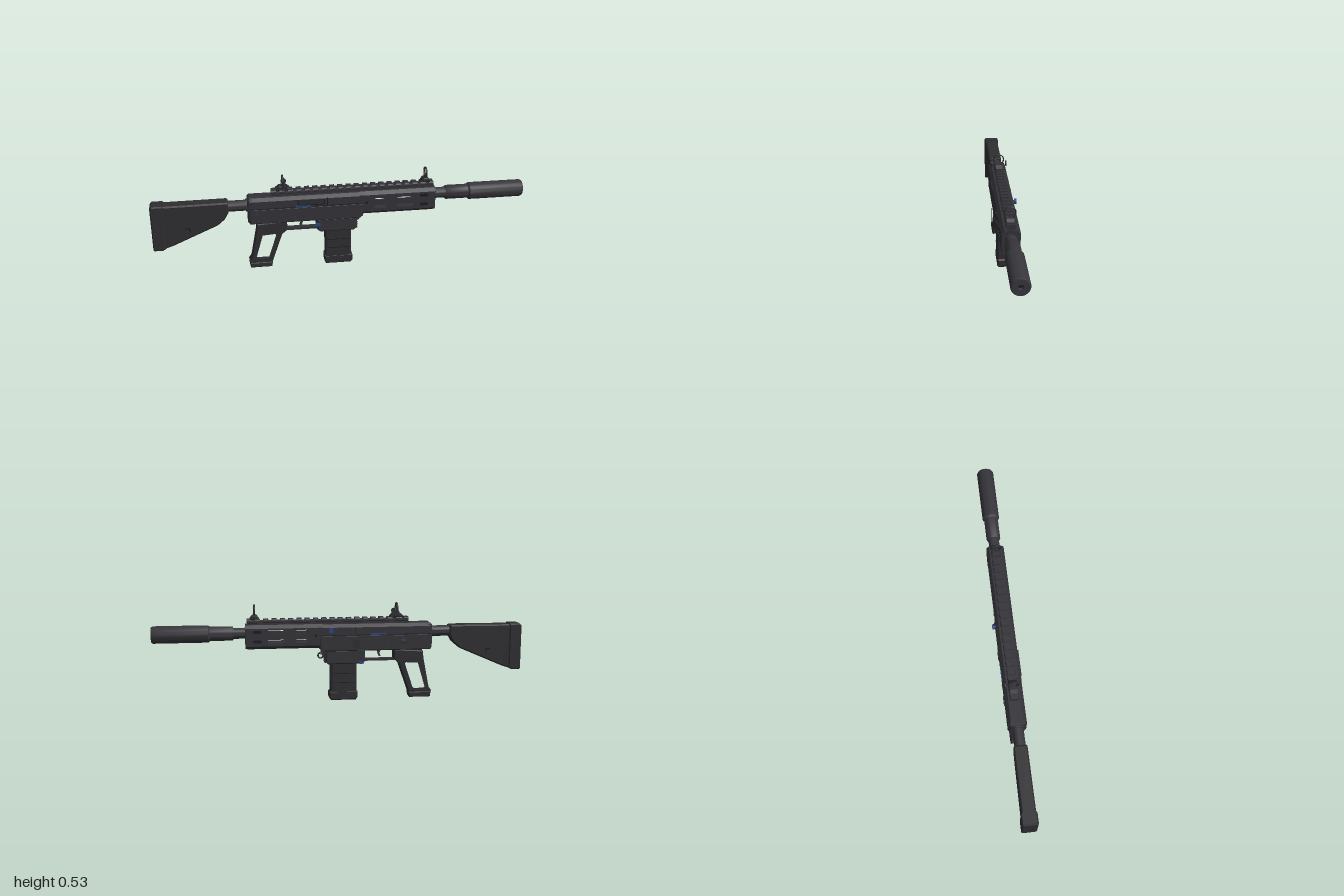
import * as THREE from 'three';
import { toCreasedNormals } from 'three/addons/utils/BufferGeometryUtils.js';

const mat = (name, color) => Object.assign(new THREE.MeshStandardMaterial({ color }), { name });

export function createModel() {
  const model = new THREE.Group();
  model.name = 'rifle';
  const body = new THREE.Group();
  body.name = 'rifleBody';
  body.position.z = 0.007;
  model.add(body);

  const metal = mat('gunmetal', 0x333237);
  const polymer = mat('darkPolymer', 0x2e2d31);
  const steel = mat('barrelSteel', 0x37363b);
  const black = mat('recessBlack', 0x1b1b1e);
  const blue = mat('blueAccent', 0x2b4484);

  const add = (name, geo, material, x = 0, y = 0, z = 0) => {
    const m = new THREE.Mesh(geo, material);
    m.name = name;
    m.position.set(x, y, z);
    body.add(m);
    return m;
  };
  const toShape = (pts) => new THREE.Shape(pts.map(([x, y]) => new THREE.Vector2(x, y)));
  const box = (name, x0, x1, y0, y1, w, material, z = 0) =>
    add(name, new THREE.BoxGeometry(x1 - x0, y1 - y0, w), material, (x0 + x1) / 2, (y0 + y1) / 2, z);

  // Side outline (x, y) given thickness across z, with chamfered edges
  const slab = (name, pts, w, b, material, holes = [], z = 0) => {
    const s = toShape(pts);
    s.holes = holes;
    const g = new THREE.ExtrudeGeometry(s, {
      depth: w - 2 * b, bevelEnabled: b > 0, bevelSize: b, bevelThickness: b,
      bevelOffset: -b, bevelSegments: 1, curveSegments: 8,
    });
    return add(name, g.translate(0, 0, b - w / 2), material, 0, 0, z);
  };
  // Symmetric cross-section, listed as (half width, y) from bottom to top, run along x
  const beam = (name, half, x0, x1, material) => {
    const pts = [...half, ...half.map(([z, y]) => [-z, y]).reverse()];
    const g = new THREE.ExtrudeGeometry(toShape(pts), { depth: x1 - x0, bevelEnabled: false });
    return add(name, g.rotateY(Math.PI / 2), material, x0);
  };
  // Turned part on the x axis, profile as (radius, x)
  const turned = (name, pts, y, material) => {
    const g = new THREE.LatheGeometry(pts.map(([r, x]) => new THREE.Vector2(r, x)), 28);
    return add(name, toCreasedNormals(g.rotateZ(-Math.PI / 2), 0.6), material, 0, y);
  };
  // Disc facing z
  const disc = (name, r, w, x, y, z, material) =>
    add(name, new THREE.CylinderGeometry(r, r, w, 16).rotateX(Math.PI / 2), material, x, y, z);
  const pill = (x0, x1, y, h) => {
    const r = h / 2, p = new THREE.Path();
    p.absarc(x1 - r, y, r, -Math.PI / 2, Math.PI / 2);
    p.absarc(x0 + r, y, r, Math.PI / 2, Math.PI * 1.5);
    p.closePath();
    return p;
  };

  // Barrel and suppressor
  turned('barrel', [[0, 0.47], [0.029, 0.47], [0.029, 0.575], [0, 0.575]], 0.373, steel);
  turned('suppressor', [[0, 0.572], [0.035, 0.572], [0.038, 0.577], [0.038, 0.695], [0.041, 0.698],
    [0.046, 0.704], [0.046, 0.99], [0.041, 1], [0.014, 1], [0.014, 0.975], [0, 0.975]], 0.373, steel);
  turned('suppressorBore', [[0, 0.974], [0.0135, 0.974], [0.0135, 0.977], [0, 0.977]], 0.373, black);

  // Hollow handguard: roof, floor, ends and slotted sides
  beam('handguardRoof', [[0.048, 0.394], [0.048, 0.402], [0.033, 0.42]], 0.115, 0.5, metal);
  beam('handguardFloor', [[0.033, 0.291], [0.046, 0.306], [0.046, 0.318]], 0.115, 0.5, metal);
  const octagon = [[0.033, 0.293], [0.045, 0.306], [0.047, 0.402], [0.033, 0.419]];
  beam('handguardFront', octagon, 0.47, 0.51, metal);
  beam('handguardRear', octagon, 0.1, 0.15, metal);
  for (const s of [1, -1]) {
    const slots = [0.383, 0.332].flatMap((y) => [pill(0.177, 0.245, y, 0.019), pill(0.3, 0.395, y, 0.019)]);
    slab('handguardSide', [[0.115, 0.317], [0.5, 0.317], [0.5, 0.395], [0.115, 0.395]],
      0.008, 0, metal, slots, s * 0.043);
    for (const y of [0.383, 0.332]) {
      slab('handguardBlindSlot', pill(0.425, 0.47, y, 0.017).getPoints(8).map((p) => [p.x, p.y]),
        0.003, 0, black, [], s * 0.0465);
    }
    disc('handguardScrew', 0.007, 0.004, 0.135, 0.36, s * 0.048, black);
  }

  // Receiver
  beam('upperReceiver', [[0.048, 0.35], [0.048, 0.4], [0.033, 0.417]], -0.485, 0.115, metal);
  slab('receiverRearPlate', [[-0.497, 0.285], [-0.488, 0.272], [-0.47, 0.272], [-0.47, 0.415], [-0.488, 0.415], [-0.497, 0.405]],
    0.086, 0.006, metal);
  slab('lowerReceiver', [[-0.488, 0.272], [0.1, 0.272], [0.116, 0.285], [0.116, 0.357], [-0.488, 0.357]],
    0.098, 0.005, metal);
  box('receiverSeam', -0.485, 0.115, 0.357, 0.36, 0.0975, black);
  for (const s of [1, -1]) {
    box('receiverSeamUpright', -0.077, -0.073, 0.36, 0.402, 0.002, black, s * 0.048);
    for (const [x, y] of [[-0.45, 0.33], [-0.25, 0.3], [0.085, 0.3]]) {
      disc('receiverPin', 0.008, 0.004, x, y, s * 0.05, steel);
    }
  }
  box('ejectionPort', -0.235, -0.09, 0.366, 0.399, 0.004, black, 0.048);
  box('portCover', -0.23, -0.095, 0.372, 0.4, 0.006, polymer, 0.05);
  for (const s of [1, -1]) box('boltMark', -0.243, -0.163, 0.358, 0.367, 0.005, blue, s * 0.049);
  box('fireSelector', -0.36, -0.31, 0.305, 0.318, 0.006, polymer, -0.051);
  box('selectorMark', -0.345, -0.33, 0.32, 0.334, 0.003, blue, -0.0495);
  box('boltCatch', -0.1, -0.06, 0.287, 0.335, 0.006, polymer, -0.05);

  // Charging handle
  disc('chargingStem', 0.007, 0.016, 0.055, 0.387, -0.052, steel);
  disc('chargingKnob', 0.014, 0.012, 0.055, 0.387, -0.061, blue);

  // Top rail
  beam('railBase', [[0.019, 0.412], [0.019, 0.428], [0.025, 0.431], [0.025, 0.437], [0.02, 0.439]], -0.37, 0.5, metal);
  for (let i = 0; i < 20; i++) {
    const x = -0.37 + i * 0.0445;
    beam('railTooth', [[0.025, 0.436], [0.025, 0.442], [0.02, 0.448]], x, x + 0.026, metal);
  }

  // Folding ring sights
  const sight = (name, x, ends) => {
    slab(name + 'Base', [[x - ends, 0.446], [x + ends, 0.446], [x + ends, 0.453], [x + ends * 0.5, 0.469], [x - ends * 0.5, 0.469], [x - ends, 0.453]],
      0.046, 0.004, polymer);
    slab(name + 'Neck', [[x - 0.008, 0.465], [x + 0.008, 0.465], [x + 0.005, 0.476], [x - 0.005, 0.476]], 0.022, 0, polymer);
    add(name + 'Ring', new THREE.TorusGeometry(0.0275, 0.0035, 6, 14).rotateY(Math.PI / 2).scale(1.5, 1, 1), polymer, x, 0.496, 0);
  };
  sight('rearSight', -0.307, 0.038);
  sight('frontSight', 0.46, 0.024);
  add('frontSightPost', new THREE.ConeGeometry(0.005, 0.024, 8), polymer, 0.46, 0.484, 0);
  for (const s of [1, -1]) disc('rearSightDial', 0.015, 0.007, -0.3, 0.475, s * 0.04, polymer);

  // Magazine well with front ribs
  slab('magazineWell', [[-0.13, 0.276], [-0.13, 0.213], [-0.112, 0.2], [0.07, 0.2], [0.083, 0.212], [0.083, 0.276]],
    0.084, 0.006, metal);
  slab('magazineWellShoulder', [[0.06, 0.28], [0.06, 0.245], [0.095, 0.252], [0.112, 0.28]], 0.06, 0.004, metal);
  for (let i = 0; i < 4; i++) box('magazineWellRib', 0.08, 0.088, 0.207 + i * 0.011, 0.213 + i * 0.011, 0.062, polymer);
  box('magazineRelease', -0.14, -0.115, 0.235, 0.253, 0.012, blue, 0.04);
  box('magazineCatch', -0.125, -0.1, 0.2, 0.214, 0.006, blue, -0.041);

  // Magazine
  slab('magazine', [[-0.085, 0.21], [-0.085, 0.04], [0.052, 0.04], [0.052, 0.21]], 0.068, 0.005, polymer);
  box('magazineFrontRidge', 0.05, 0.055, 0.05, 0.195, 0.05, polymer);
  for (const s of [1, -1]) {
    for (const y of [0.095, 0.145]) box('magazineGroove', -0.078, 0.045, y, y + 0.004, 0.002, black, s * 0.0335);
  }
  slab('magazineBase', [[-0.09, 0.048], [-0.09, 0.012], [-0.082, 0.0], [0.052, 0.0], [0.063, 0.012], [0.063, 0.042], [0.055, 0.05], [-0.08, 0.05]],
    0.07, 0.006, polymer);

  // Open pistol grip
  const opening = new THREE.Path([[-0.427, 0.2], [-0.355, 0.205], [-0.345, 0.195], [-0.39, 0.06], [-0.4, 0.05], [-0.455, 0.05], [-0.468, 0.06]]
    .map(([x, y]) => new THREE.Vector2(x, y)));
  slab('grip', [[-0.45, 0.262], [-0.29, 0.272], [-0.29, 0.218], [-0.318, 0.196], [-0.374, 0.035], [-0.378, 0.005],
    [-0.494, 0.005], [-0.5, 0.04], [-0.486, 0.06], [-0.456, 0.215]], 0.062, 0.005, polymer, [opening]);
  slab('gripFoot', [[-0.494, 0.005], [-0.378, 0.005], [-0.374, 0.034], [-0.495, 0.034]], 0.068, 0.004, polymer);

  // Trigger and guard
  box('triggerGuard', -0.295, -0.125, 0.21, 0.222, 0.03, metal);
  slab('trigger', [[-0.225, 0.275], [-0.2, 0.275], [-0.204, 0.25], [-0.212, 0.232], [-0.222, 0.232], [-0.214, 0.25]], 0.014, 0, steel);

  // Sling loop
  box('slingMount', 0.09, 0.112, 0.258, 0.3, 0.006, polymer, -0.046);
  add('slingLoop', new THREE.TorusGeometry(0.014, 0.0045, 6, 16), polymer, 0.112, 0.252, -0.046);

  // Stock and its tube
  turned('stockTube', [[0, -0.62], [0.029, -0.62], [0.029, -0.505], [0.034, -0.505], [0.034, -0.488], [0, -0.488]], 0.366, steel);
  slab('stock', [[-0.94, 0.398], [-0.94, 0.153], [-0.89, 0.17], [-0.655, 0.272], [-0.617, 0.305], [-0.597, 0.34], [-0.597, 0.395], [-0.605, 0.4]],
    0.072, 0.007, polymer);
  slab('buttPad', [[-1, 0.392], [-1, 0.152], [-0.995, 0.146], [-0.95, 0.146], [-0.933, 0.156], [-0.933, 0.402], [-0.99, 0.402]],
    0.083, 0.006, polymer);
  for (let i = 0; i < 10; i++) box('buttPadRib', -1.0, -0.996, 0.17 + i * 0.022, 0.178 + i * 0.022, 0.064, black);
  for (const s of [1, -1]) {
    box('stockSlot', -0.825, -0.8, 0.262, 0.268, 0.003, black, s * 0.0355);
    box('stockSlotUpright', -0.806, -0.8, 0.245, 0.262, 0.003, black, s * 0.0355);
  }
  return model;
}
